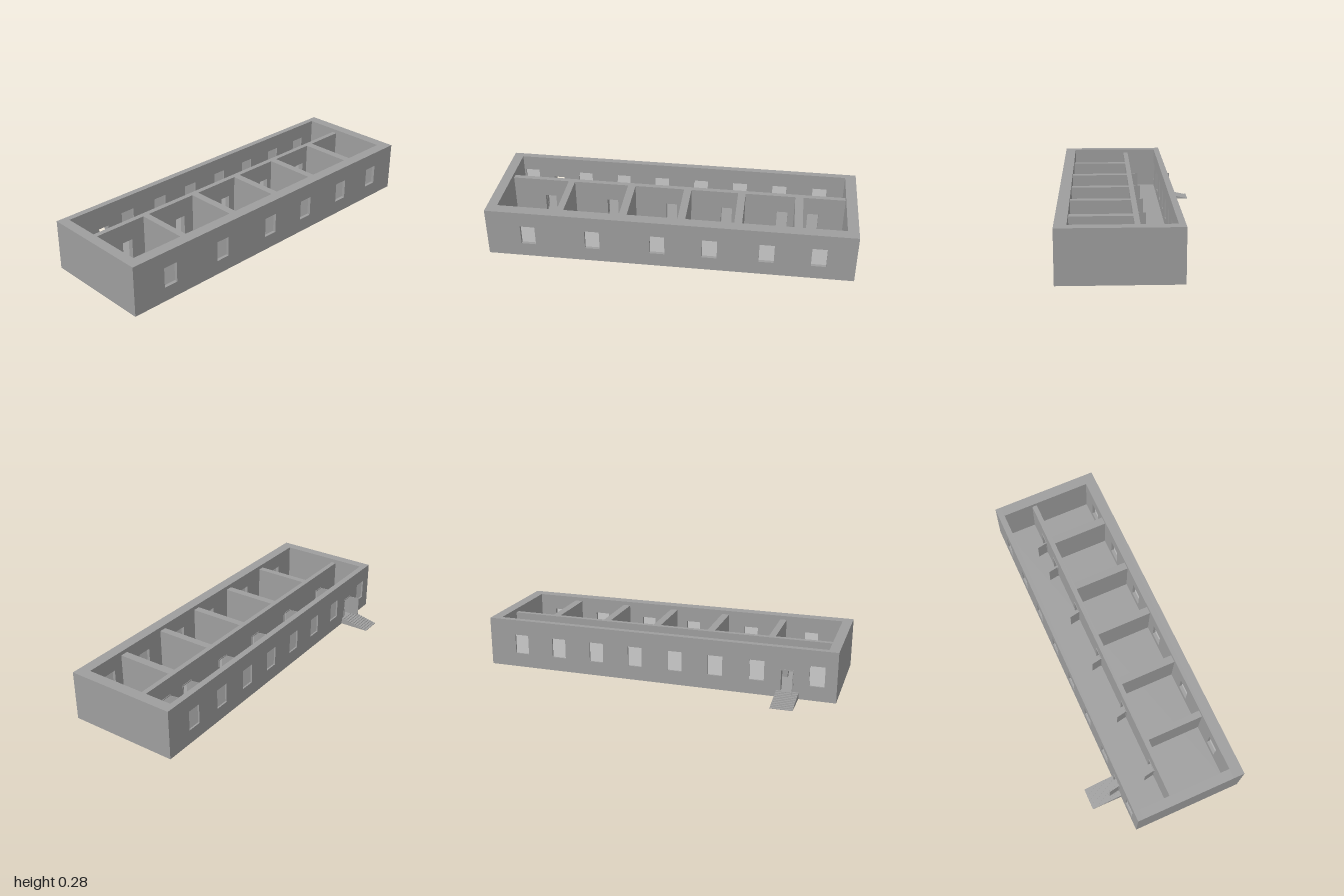
import * as THREE from 'three';

const grey = new THREE.MeshStandardMaterial({ color: 0x9e9e9e, flatShading: true });
const pane = new THREE.MeshStandardMaterial({ color: 0xcccccc });

const X0 = -1, X1 = 1, Z0 = -0.224, Z1 = 0.395, H = 0.279; // outer shell
const IX0 = -0.945, IX1 = 0.94, IZ0 = -0.19, IZ1 = 0.333;  // inner faces
const FLOOR = 0.037, INNER_TOP = 0.257;
const CZ0 = -0.015, CZ1 = 0.013;                           // corridor wall
const DOOR_W = 0.062, DOOR_TOP = 0.152;
const WIN_W = 0.081, WIN_Y0 = 0.08, WIN_Y1 = 0.192;

export function createModel() {
  const model = new THREE.Group();

  const add = (parent, name, geometry, material = grey) => {
    const mesh = new THREE.Mesh(geometry, material);
    mesh.name = name;
    parent.add(mesh);
    return mesh;
  };

  // box given by its two extreme corners
  const box = (name, x0, x1, y0, y1, z0, z1, material = grey, parent = model) => {
    const mesh = add(parent, name, new THREE.BoxGeometry(x1 - x0, y1 - y0, z1 - z0), material);
    mesh.position.set((x0 + x1) / 2, (y0 + y1) / 2, (z0 + z1) / 2);
  };

  const rect = (path, x0, x1, y0, y1) => {
    path.moveTo(x0, y0);
    path.lineTo(x1, y0);
    path.lineTo(x1, y1);
    path.lineTo(x0, y1);
    path.closePath();
    return path;
  };

  // wall along x pierced by windows (by centre) and doors (by hinge x)
  const wall = (name, x0, x1, y0, y1, z0, z1, windows, doors) => {
    const shape = rect(new THREE.Shape(), x0, x1, y0, y1);
    for (const x of windows)
      shape.holes.push(rect(new THREE.Path(), x - WIN_W / 2, x + WIN_W / 2, WIN_Y0, WIN_Y1));
    for (const x of doors)
      shape.holes.push(rect(new THREE.Path(), x, x + DOOR_W, FLOOR, DOOR_TOP));
    const geometry = new THREE.ExtrudeGeometry(shape, { depth: z1 - z0, bevelEnabled: false });
    add(model, name, geometry).position.z = z0;
    const inset = (z1 - z0) * 0.28;
    for (const x of windows)
      box('windowPane', x - WIN_W / 2, x + WIN_W / 2, WIN_Y0, WIN_Y1, z0 + inset, z1 - inset, pane);
    for (const x of doors) door(x, z0);
  };

  // frame around the opening and a leaf swung open towards -z
  const door = (x, z) => {
    const group = new THREE.Group();
    group.name = 'door';
    const f = 0.005, z0 = z - 0.003, z1 = z + 0.004;
    box('doorJamb', x - f, x, FLOOR, DOOR_TOP + f, z0, z1, grey, group);
    box('doorJamb', x + DOOR_W, x + DOOR_W + f, FLOOR, DOOR_TOP + f, z0, z1, grey, group);
    box('doorHead', x, x + DOOR_W, DOOR_TOP, DOOR_TOP + f, z0, z1, grey, group);
    const leafGeometry = new THREE.BoxGeometry(0.003, DOOR_TOP - FLOOR, 0.058);
    leafGeometry.translate(0, (DOOR_TOP + FLOOR) / 2, -0.029);
    const leaf = add(group, 'doorLeaf', leafGeometry);
    leaf.position.set(x, 0, z - 0.002);
    leaf.rotation.y = 0.17;
    model.add(group);
  };

  // outer shell and floor
  wall('frontWall', X0, X1, 0, H, IZ1, Z1, [-0.77, -0.415, -0.06, 0.223, 0.528, 0.805], []);
  wall('backWall', X0, X1, 0, H, Z0, IZ0,
    [-0.895, -0.573, -0.344, -0.115, 0.115, 0.344, 0.573, 0.804], [-0.767]);
  box('rightEndWall', X0, IX0, 0, H, IZ0, IZ1);
  box('leftEndWall', IX1, X1, 0, H, IZ0, IZ1);
  box('floor', IX0, IX1, 0, FLOOR, IZ0, IZ1);

  // corridor wall with a door to each room
  wall('corridorWall', IX0, IX1, FLOOR, INNER_TOP, CZ0, CZ1,
    [], [-0.767, -0.403, -0.062, 0.252, 0.566, 0.738]);

  // partitions between rooms
  for (const [a, b] of [[-0.624, -0.587], [-0.28, -0.237], [0.04, 0.082], [0.345, 0.387], [0.663, 0.708]])
    box('partition', a, b, FLOOR, INNER_TOP, CZ1, IZ1);

  // entrance steps: stepped profile in (depth, height), extruded across x
  const steps = 11, run = (0.395 + Z0) / steps, rise = FLOOR / steps;
  const profile = new THREE.Shape();
  profile.moveTo(0, 0);
  profile.lineTo(steps * run, 0);
  for (let i = 0; i < steps; i++) {
    profile.lineTo((steps - i) * run, (i + 1) * rise);
    profile.lineTo((steps - i - 1) * run, (i + 1) * rise);
  }
  const stairs = add(model, 'entranceSteps',
    new THREE.ExtrudeGeometry(profile, { depth: 0.12, bevelEnabled: false }));
  stairs.rotation.y = Math.PI / 2;
  stairs.position.set(-0.802, 0, Z0);

  return model;
}
